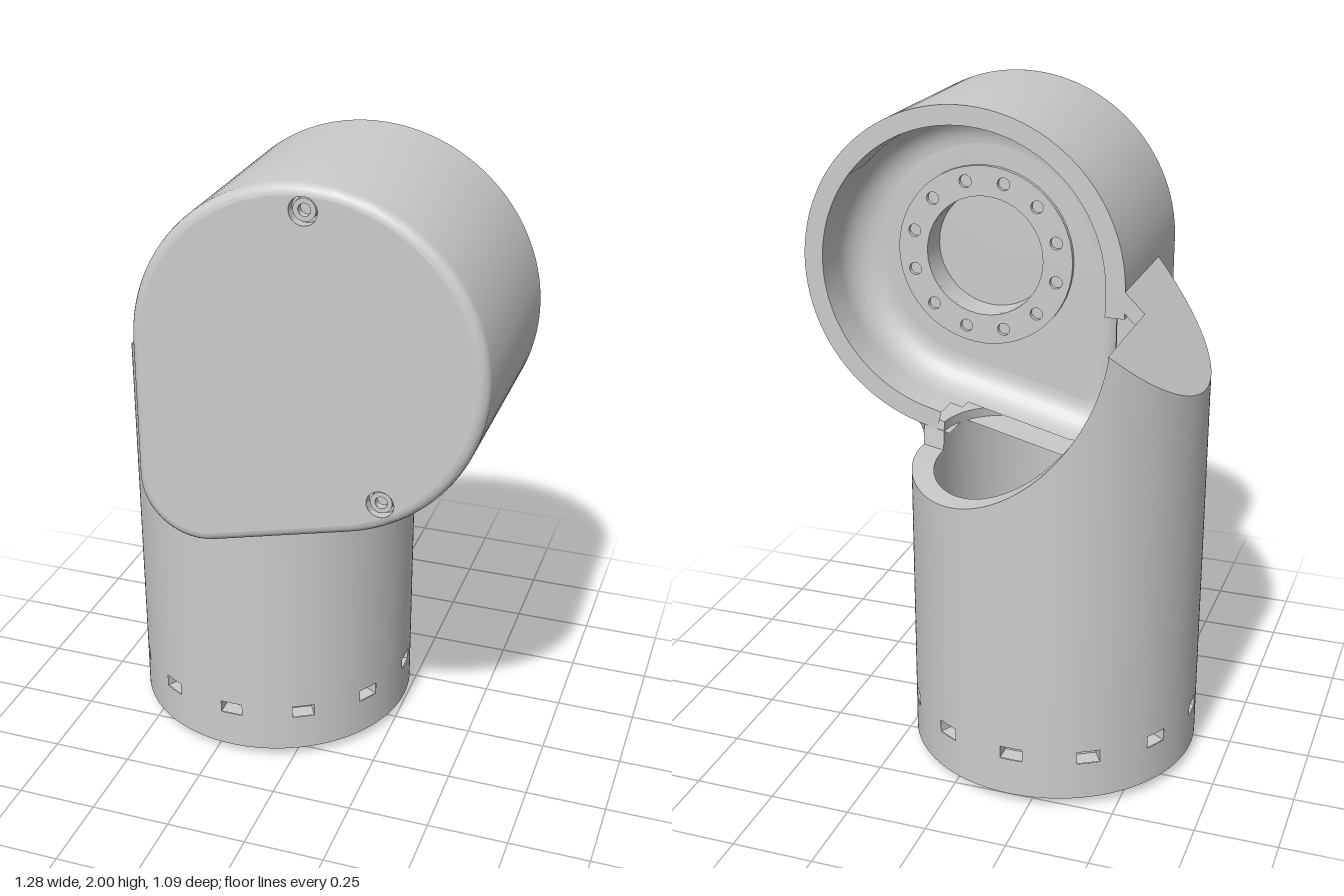
import * as THREE from 'three';
import { toCreasedNormals } from 'three/addons/utils/BufferGeometryUtils.js';

const mat = new THREE.MeshStandardMaterial({ color: 0xcccccc, side: THREE.DoubleSide });
const pocketMat = new THREE.MeshStandardMaterial({ color: 0xcccccc, side: THREE.BackSide });
const rad = THREE.MathUtils.degToRad;

// Main dimensions: upright tube (axis CX, CZ) and drop-shaped head (two circles)
const CX = -0.195, CZ = -0.095, R = 0.447, RI = 0.38;
const BIG = { x: 0.125, y: 1.49, r: 0.51 }, SMALL = { x: -0.2, y: 1.075, r: 0.185 };
const BACK = -0.08, FRONT = 0.545, FLOOR = 0.15, TANGENT = -76.2;

// Skin a list of rings; keep(centre, ring, step) may leave quads open
function loft(rings, closed = true, keep = () => true) {
  const n = rings[0].length, pos = rings.flat().flatMap(p => [p.x, p.y, p.z]), idx = [];
  for (let i = 0; i < rings.length - 1; i++) {
    for (let j = 0; j < (closed ? n : n - 1); j++) {
      const k = (j + 1) % n;
      const c = new THREE.Vector3();
      [rings[i][j], rings[i][k], rings[i + 1][j], rings[i + 1][k]].forEach(p => c.addScaledVector(p, 0.25));
      if (!keep(c, i, j)) continue;
      const a = i * n + j, b = i * n + k;
      idx.push(a, b, b + n, a, b + n, a + n);
    }
  }
  const g = new THREE.BufferGeometry();
  g.setAttribute('position', new THREE.Float32BufferAttribute(pos, 3));
  g.setIndex(idx);
  g.computeVertexNormals();
  return toCreasedNormals(g, rad(35));
}

// Drop outline, inset by a distance
function outline(inset) {
  const pts = [];
  const arc = (c, from, to, n) => {
    for (let i = 0; i <= n; i++) {
      const t = rad(from + (to - from) * i / n);
      pts.push(new THREE.Vector2(c.x + (c.r - inset) * Math.cos(t), c.y + (c.r - inset) * Math.sin(t)));
    }
  };
  const line = (a, b) => { for (let i = 1; i < 10; i++) pts.push(a.clone().lerp(b, i / 10)); };
  const at = (c, deg) => new THREE.Vector2(c.x + (c.r - inset) * Math.cos(rad(deg)), c.y + (c.r - inset) * Math.sin(rad(deg)));
  arc(BIG, TANGENT, 180, 80);
  line(at(BIG, 180), at(SMALL, 180));
  arc(SMALL, 180, 360 + TANGENT, 30);
  line(at(SMALL, TANGENT), at(BIG, TANGENT));
  return pts;
}

// Underside height of the head at x
function underside(x) {
  const low = c => c.y - Math.sqrt(Math.max(0, c.r * c.r - (x - c.x) ** 2));
  if (x < -0.156) return low(SMALL);
  return x < 0.247 ? 0.895 + (x + 0.156) * 0.2475 : low(BIG);
}

const roof = x => x + 1.875;

// Height of the tube wall at a plan position
function wallTop(x, z) {
  if (z < BACK) {
    const d = 0.575 ** 2 - (x - BIG.x) ** 2;
    return d > 0 ? Math.min(roof(x), BIG.y - Math.sqrt(d)) : roof(x);
  }
  return x < -0.385 ? roof(x) : underside(x) + 0.03;
}

function circle(x, y, r) {
  return new THREE.Path().absarc(x, y, r, 0, Math.PI * 2, true);
}

// Annular plate with a ring of bolt holes, facing z
function boltPlate(rOut, rIn, rBolt, hole, depth) {
  const s = new THREE.Shape().absarc(0, 0, rOut, 0, Math.PI * 2);
  s.holes.push(circle(0, 0, rIn));
  for (let i = 0; i < 12; i++) {
    const t = rad(i * 30 + 15);
    s.holes.push(circle(rBolt * Math.cos(t), rBolt * Math.sin(t), hole));
  }
  return toCreasedNormals(new THREE.ExtrudeGeometry(s, { depth, bevelEnabled: false, curveSegments: 24 }), rad(35));
}

export function createModel() {
  const model = new THREE.Group();
  const add = (name, geo, x = 0, y = 0, z = 0, parent = model, m = mat) => {
    const mesh = new THREE.Mesh(geo, m);
    mesh.name = name;
    mesh.position.set(x, y, z);
    parent.add(mesh);
    return mesh;
  };

  // Tube wall with cut top and slot openings near the foot
  const N = 240;
  const tubeRing = (r, y) => Array.from({ length: N }, (_, i) => {
    const a = i / N * Math.PI * 2, x = CX + r * Math.sin(a), z = CZ + r * Math.cos(a);
    return new THREE.Vector3(x, y ?? wallTop(x, z), z);
  });
  const isSlot = j => (j + 3) % 20 < 6;
  add('tube', loft([tubeRing(0.4, 0.07), tubeRing(0.4, 0.03), tubeRing(R, 0.03), tubeRing(R, 0.15), tubeRing(R, 0.19),
    tubeRing(R), tubeRing(RI), tubeRing(RI, 0.07)], true, (c, i, j) => !(i === 3 && isSlot(j))));
  for (let i = 0; i < 12; i++) {
    const a = rad(i * 30);
    const p = add('slotPocket', new THREE.BoxGeometry(0.07, 0.04, 0.05),
      CX + 0.42 * Math.sin(a), 0.17, CZ + 0.42 * Math.cos(a), model, pocketMat);
    p.rotation.y = a;
  }

  // Sloping shoulder beside the head: plan shape, sheared upwards with x
  const plan = new THREE.Shape();
  const aEnd = Math.acos((-0.445 - CX) / R), aFront = Math.acos((-0.385 - CX) / R);
  for (let i = 0; i <= 50; i++) {
    const t = aFront + (2 * Math.PI - aEnd - aFront) * i / 50;
    const x = CX + R * Math.cos(t), z = CZ + R * Math.sin(t);
    i ? plan.lineTo(x, z) : plan.moveTo(x, z);
  }
  plan.lineTo(-0.445, BACK);
  plan.lineTo(-0.385, BACK);
  const slab = new THREE.ExtrudeGeometry(plan, { depth: 0.065, bevelEnabled: false });
  slab.rotateX(Math.PI / 2);
  const sp = slab.attributes.position;
  for (let i = 0; i < sp.count; i++) sp.setY(i, sp.getY(i) + roof(sp.getX(i)));
  add('shoulder', toCreasedNormals(slab, rad(35)));

  // Base disc, inner floor and bolted foot flange
  const base = [[0.11, 0.3], [0.11, 0.02], [0.375, 0.02], [0.375, 0.07], [0.4, 0.07]].map(p => new THREE.Vector2(...p));
  add('baseDisc', toCreasedNormals(new THREE.LatheGeometry(base, 64), rad(35)), CX, 0, CZ);
  const floorRing = [[0.11, 0.3], [0.37, 0.3], [0.37, 0.32], [RI, 0.32]].map(p => new THREE.Vector2(...p));
  add('tubeFloor', toCreasedNormals(new THREE.LatheGeometry(floorRing, 64), rad(35)), CX, 0, CZ);
  add('footFlange', boltPlate(0.255, 0.11, 0.215, 0.012, 0.02), CX, 0.02, CZ).rotation.x = Math.PI / 2;
  add('floorKey', new THREE.BoxGeometry(0.22, 0.01, 0.065), 0.005, 0.3, -0.215).rotation.y = rad(30);

  // Head shell: rounded front edge, outer wall, back rim, inner wall, inner fillet
  const sections = [];
  for (let i = 0; i <= 5; i++) {
    const t = i / 5 * Math.PI / 2;
    sections.push([0.03 * (1 - Math.sin(t)), FRONT - 0.03 * (1 - Math.cos(t))]);
  }
  sections.push([0, 0.05]);
  for (let i = 1; i <= 8; i++) sections.push([0, 0.05 + (BACK - 0.05) * i / 8]);
  for (let i = 0; i <= 8; i++) sections.push([0.06, BACK + (0.05 - BACK) * i / 8]);
  for (let i = 1; i <= 8; i++) {
    const t = i / 8 * Math.PI / 2;
    sections.push([0.06 + 0.1 * (1 - Math.cos(t)), 0.05 + 0.1 * Math.sin(t)]);
  }
  // the wall is open where the tube's bore enters it
  const outsideBore = c => c.z > 0.05 || c.y > 1.42 || Math.hypot(c.x - CX, c.z - CZ) > RI;
  add('headShell', loft(sections.map(([d, z]) => outline(d).map(p => new THREE.Vector3(p.x, p.y, z))), true, outsideBore));

  // Front cover with two recessed screws
  const cover = new THREE.Shape(outline(0.03));
  const screws = [[0.125, 1.93], [0.345, 1.11]];
  screws.forEach(([x, y]) => cover.holes.push(circle(x, y, 0.04)));
  add('frontCover', new THREE.ShapeGeometry(cover, 24), 0, 0, FRONT);
  for (const [x, y] of screws) {
    const screw = new THREE.Group();
    screw.name = 'screw';
    screw.position.set(x, y, FRONT);
    model.add(screw);
    const bore = [[0.04, 0], [0.04, -0.03], [0.032, -0.03], [0.032, -0.012], [0.018, -0.012], [0.018, -0.035], [0, -0.035]];
    const g = new THREE.LatheGeometry(bore.map(p => new THREE.Vector2(...p)), 24).rotateX(Math.PI / 2);
    add('screwHead', toCreasedNormals(g, rad(35)), 0, 0, 0, screw);
  }

  // Head floor, bolted joint ring and its central recess
  const floor = new THREE.Shape(outline(0.16));
  floor.holes.push(circle(BIG.x, BIG.y, 0.19));
  add('headFloor', new THREE.ShapeGeometry(floor, 32), 0, 0, FLOOR);
  add('jointRing', boltPlate(0.285, 0.19, 0.24, 0.02, 0.015), BIG.x, BIG.y, FLOOR - 0.015);
  const recess = [[0.19, 0], [0.19, 0.09], [0, 0.09]].map(p => new THREE.Vector2(...p));
  add('jointRecess', toCreasedNormals(new THREE.LatheGeometry(recess, 48).rotateX(Math.PI / 2), rad(35)), BIG.x, BIG.y, FLOOR);

  // Fillet blending the tube into the underside of the head
  const F = 0.06, blend = [];
  for (let k = 0; k <= 6; k++) {
    const t = k / 6 * Math.PI / 2, r = R + F * (1 - Math.cos(t)), ring = [];
    for (let i = 0; i <= 60; i++) {
      const a = rad(-21 + 109 * i / 60);
      const y = underside(CX + (R + F) * Math.sin(a)) + 0.004 - F + F * Math.sin(t);
      ring.push(new THREE.Vector3(CX + r * Math.sin(a), y, CZ + r * Math.cos(a)));
    }
    blend.push(ring);
  }
  add('neckFillet', loft(blend, false));
  return model;
}
